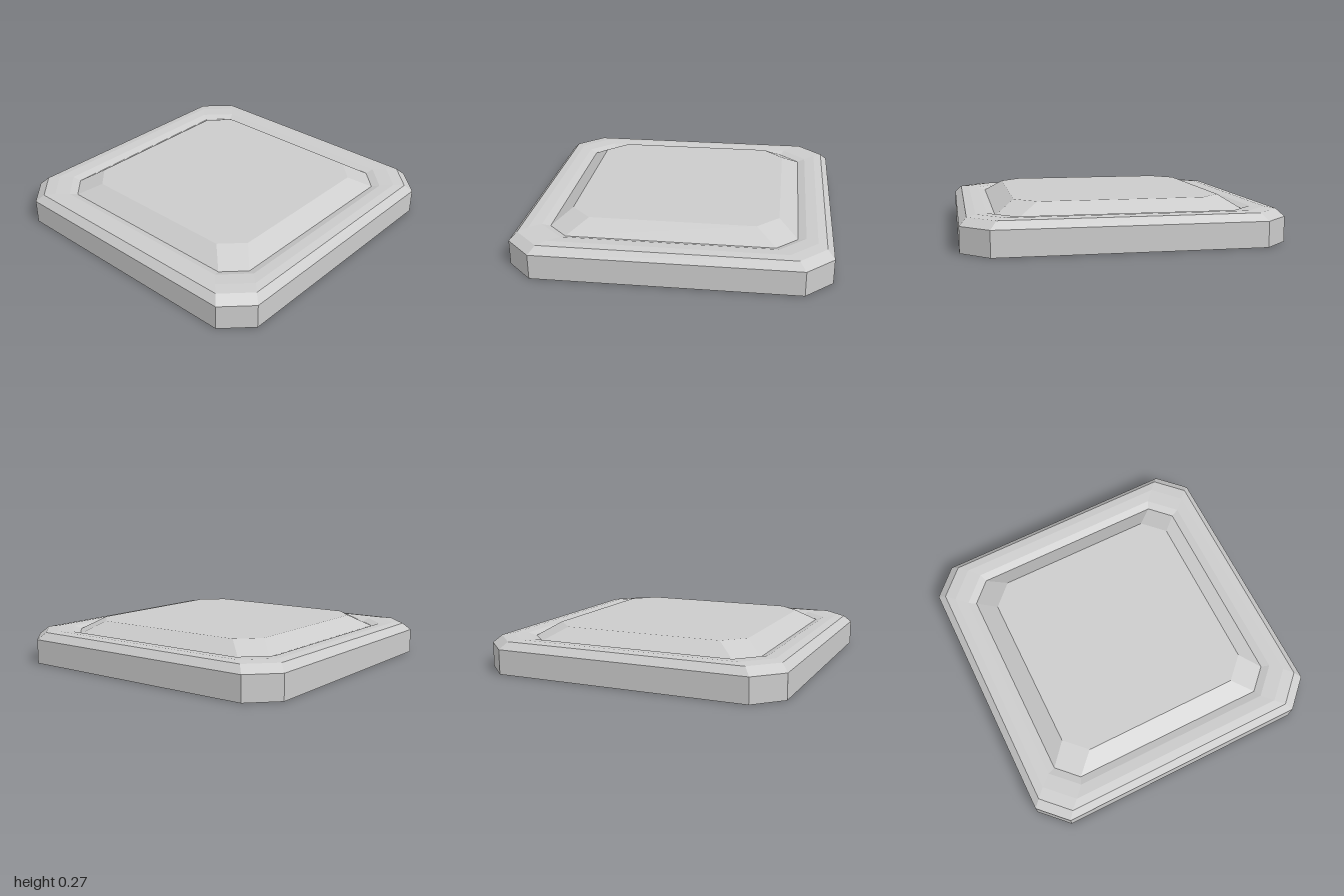
import * as THREE from 'three';

// Chamfered square ring: h = half width, s = half length of a straight side
const ring = ([h, s, y]) =>
  [[-s, h], [s, h], [h, s], [h, -s], [s, -h], [-s, -h], [-h, -s], [-h, s]].map(([x, z]) => [x, y, z]);

// Skin between successive rings, optionally closed by a flat top
function loft(name, profile, capped, material) {
  const rings = profile.map(ring);
  const pos = [];
  const tri = (...corners) => corners.forEach((p) => pos.push(...p));
  for (let r = 0; r < rings.length - 1; r++) {
    const a = rings[r], b = rings[r + 1];
    for (let i = 0; i < 8; i++) {
      const j = (i + 1) % 8;
      tri(a[i], a[j], b[j]);
      tri(a[i], b[j], b[i]);
    }
  }
  if (capped) {
    const top = rings[rings.length - 1];
    for (let i = 1; i < 7; i++) tri(top[0], top[i], top[i + 1]);
  }
  const geometry = new THREE.BufferGeometry();
  geometry.setAttribute('position', new THREE.Float32BufferAttribute(pos, 3));
  geometry.computeVertexNormals();
  const mesh = new THREE.Mesh(geometry, material);
  mesh.name = name;
  return mesh;
}

export function createModel() {
  const group = new THREE.Group();
  group.name = 'beveledTile';
  const material = new THREE.MeshStandardMaterial({
    color: 0xcccccc, flatShading: true, side: THREE.DoubleSide,
  });

  // Upright outer wall, open underneath
  group.add(loft('outerWall', [[1, 0.83, 0], [1, 0.83, 0.16]], false, material));

  // Beveled rim that dips into a groove
  group.add(loft('rim', [
    [1, 0.83, 0.16],
    [0.955, 0.79, 0.206],
    [0.9, 0.735, 0.213],
    [0.83, 0.67, 0.208],
    [0.78, 0.65, 0.19],
  ], false, material));

  // Raised centre panel with sloping edges
  group.add(loft('raisedPanel', [[0.78, 0.65, 0.19], [0.66, 0.525, 0.27]], true, material));

  return group;
}
